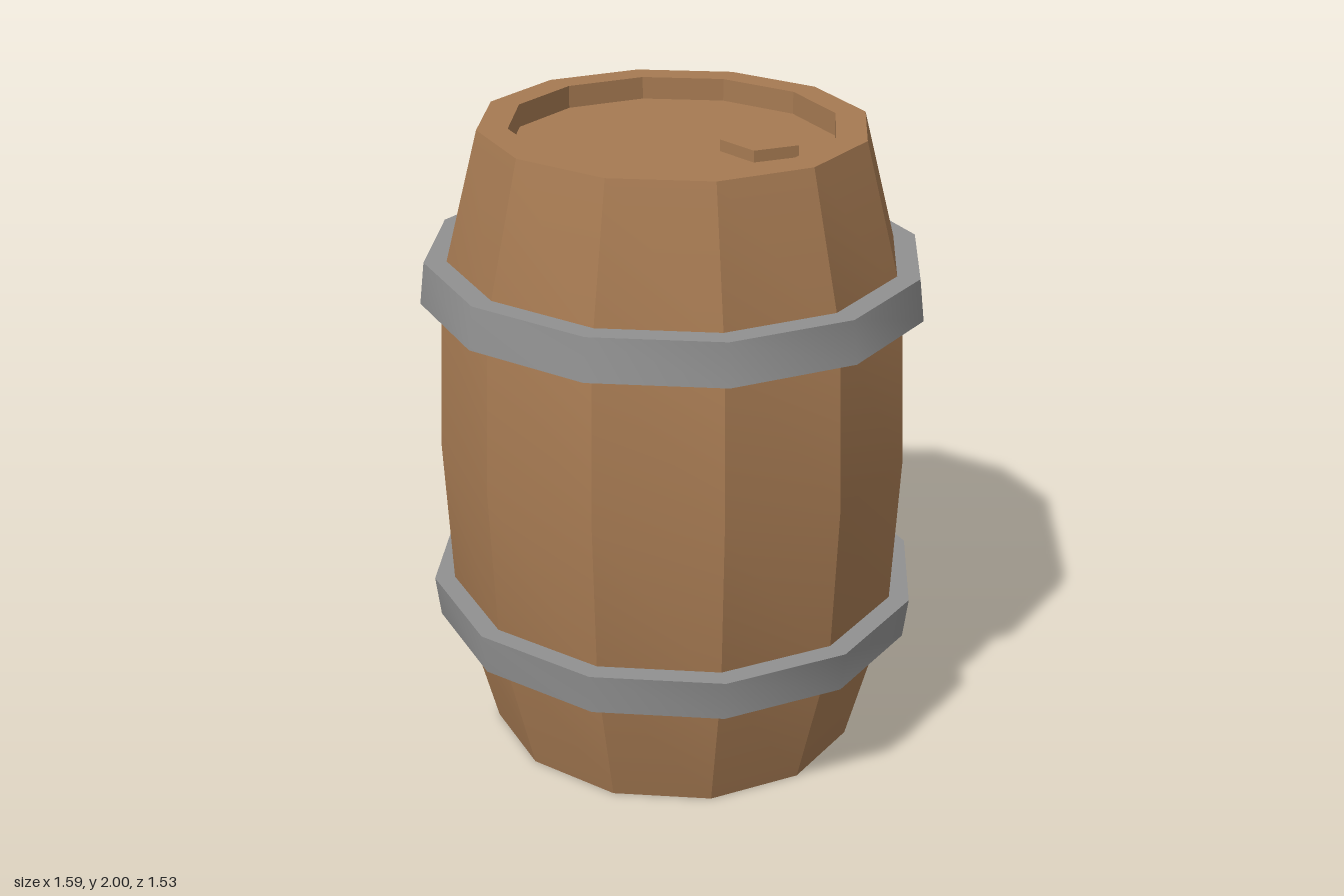
import * as THREE from 'three';
import { toCreasedNormals } from 'three/addons/utils/BufferGeometryUtils.js';

const SIDES = 12;
const DEPTH = 0.967; // the barrel is slightly narrower front to back

export function createModel() {
  const wood = new THREE.MeshStandardMaterial({ color: 0xa67a52 });
  wood.name = 'wood';
  const iron = new THREE.MeshStandardMaterial({ color: 0x919191 });
  iron.name = 'iron';

  const barrel = new THREE.Group();
  barrel.name = 'barrel';

  // Twelve-sided turned part; faces meeting above the crease angle stay sharp
  function turned(name, profile, crease, material) {
    const points = profile.map(([r, y]) => new THREE.Vector2(r, y));
    const geometry = new THREE.LatheGeometry(points, SIDES).scale(1, 1, DEPTH);
    geometry.deleteAttribute('uv');
    const mesh = new THREE.Mesh(toCreasedNormals(geometry, crease), material);
    mesh.name = name;
    barrel.add(mesh);
  }

  // Bulging staves with a recessed head at both ends
  turned('staves', [
    [0, 0.07], [0.505, 0.07], [0.505, 0], [0.6, 0],
    [0.725, 0.47], [0.75, 1], [0.725, 1.53],
    [0.6, 2], [0.505, 2], [0.505, 1.93], [0, 1.93],
  ], 0.3, wood);

  // Hoops, wider towards the middle of the barrel
  turned('lowerHoop', [
    [0.68, 0.53], [0.68, 0.4], [0.777, 0.4], [0.793, 0.53], [0.68, 0.53],
  ], 0.65, iron);
  turned('upperHoop', [
    [0.68, 1.6], [0.68, 1.47], [0.793, 1.47], [0.777, 1.6], [0.68, 1.6],
  ], 0.65, iron);

  // Five-sided bung on the top head
  const plug = new THREE.CylinderGeometry(0.126, 0.126, 0.045, 5, 1, false, Math.PI);
  const bung = new THREE.Mesh(toCreasedNormals(plug, 0.3), wood);
  bung.name = 'bung';
  bung.scale.z = DEPTH;
  bung.position.set(0.22, 1.943, -0.153);
  barrel.add(bung);

  return barrel;
}
